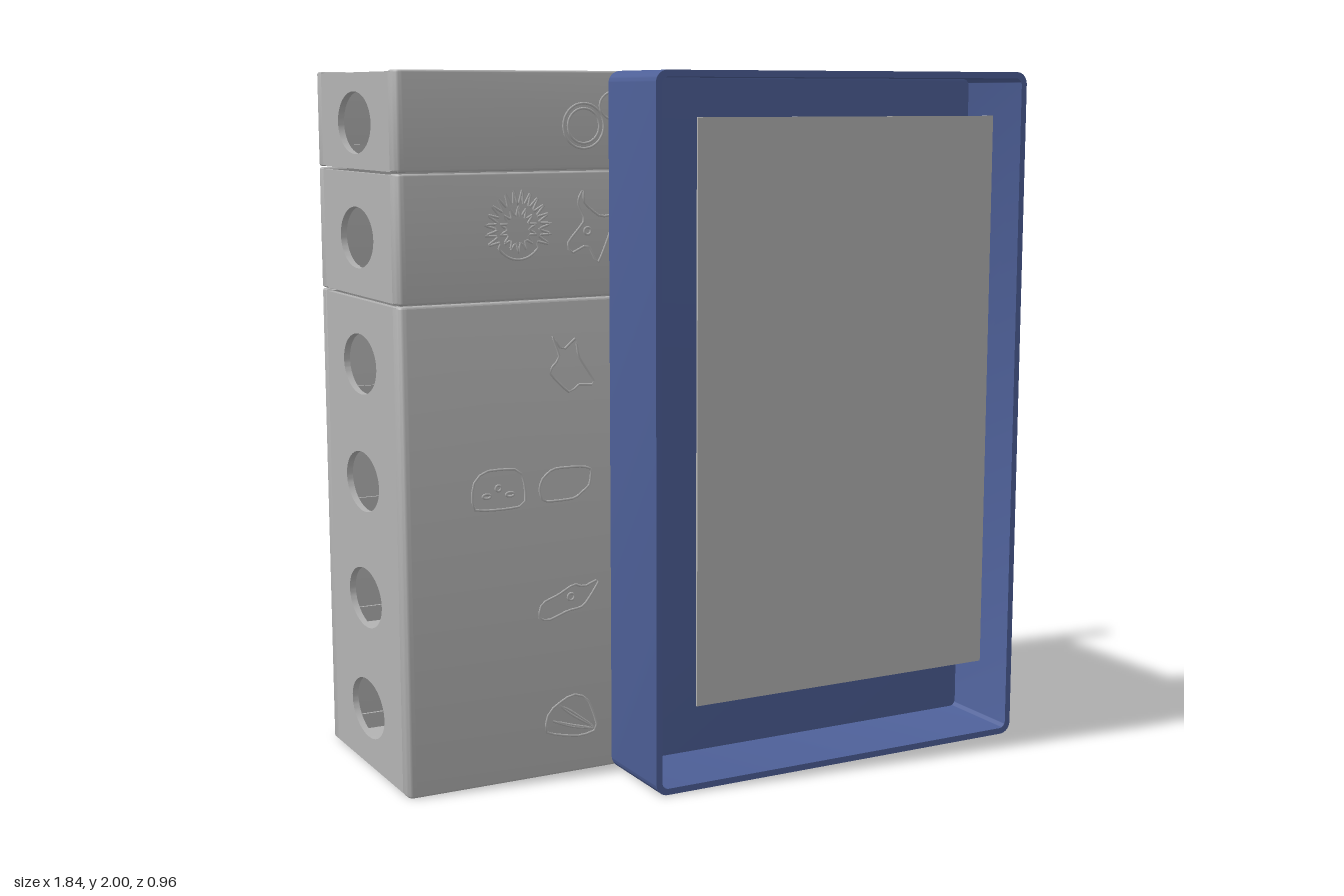
import * as THREE from 'three';
import { toCreasedNormals } from 'three/addons/utils/BufferGeometryUtils.js';

const grey = new THREE.MeshStandardMaterial({ color: 0xb3b3b3 });
grey.name = 'grey plastic';
const blue = new THREE.MeshStandardMaterial({ color: 0x4d5f97 });
blue.name = 'blue plastic';

const X0 = -0.92, X1 = 0.305;          // closed end and open end of the cabinet
const ZC = -0.155, HALF = 0.325;       // cabinet centre and half depth
const WALL = 0.018;

function add(parent, name, geometry, material, x = 0, y = 0, z = 0) {
  const mesh = new THREE.Mesh(geometry, material);
  mesh.name = name;
  mesh.position.set(x, y, z);
  parent.add(mesh);
  return mesh;
}

// Box given by its lower and upper corners
function block(parent, name, x0, x1, y0, y1, z0, z1, material = grey) {
  return add(parent, name, new THREE.BoxGeometry(x1 - x0, y1 - y0, z1 - z0), material,
    (x0 + x1) / 2, (y0 + y1) / 2, (z0 + z1) / 2);
}

const extrude = (shape, options) =>
  toCreasedNormals(new THREE.ExtrudeGeometry(shape, { curveSegments: 8, ...options }), 0.6);

// Long wall with a rounded corner that turns into the closed end; s = 1 front, -1 back
function longWall(s, height) {
  const r = 0.022, b = 0.006, shape = new THREE.Shape();
  shape.moveTo(X1, -s * HALF);
  shape.lineTo(X0 + r, -s * HALF);
  shape.quadraticCurveTo(X0, -s * HALF, X0, -s * (HALF - r));
  shape.lineTo(X0, -s * 0.275);
  shape.lineTo(X0 + WALL, -s * 0.275);
  shape.lineTo(X0 + WALL, -s * (HALF - WALL));
  shape.lineTo(X1, -s * (HALF - WALL));
  const g = extrude(shape, {
    depth: height - 2 * b, bevelThickness: b, bevelSize: b, bevelOffset: -b, bevelSegments: 3,
  });
  return g.translate(0, 0, b).rotateX(-Math.PI / 2);
}

// Closed end wall with oval openings
function endWall(y0, y1, holes) {
  const w = 0.295, shape = new THREE.Shape();
  shape.moveTo(-w, y0);
  shape.lineTo(w, y0);
  shape.lineTo(w, y1);
  shape.lineTo(-w, y1);
  for (const y of holes) {
    shape.holes.push(new THREE.Path().absellipse(0, y, 0.135, 0.086, 0, Math.PI * 2, true));
  }
  return extrude(shape, { depth: WALL, bevelEnabled: false, curveSegments: 40 }).rotateY(Math.PI / 2);
}

// One stackable unit with its floors, lips and rails
function cabinetUnit(name, y0, y1, floors, holes) {
  const unit = new THREE.Group();
  unit.name = name;
  add(unit, 'endWall', endWall(y0 + 0.004, y1 - 0.004, holes), grey, X0, 0, ZC);
  for (const s of [1, -1]) {
    add(unit, s > 0 ? 'frontWall' : 'backWall', longWall(s, y1 - y0), grey, 0, y0, ZC);
    const strip = (label, a, b, ya, yb) => {
      const z = [ZC + s * a, ZC + s * b].sort((p, q) => p - q);
      block(unit, label, X0 + WALL, X1 - 0.002, ya, yb, z[0], z[1]);
    };
    strip('topLip', 0.274, HALF - 0.01, y1 - 0.014, y1 - 0.003);
    for (const y of floors) strip('rail', HALF - 0.026, HALF - 0.01, y, y + 0.06);
  }
  for (const y of floors) {
    block(unit, 'shelf', X0 + 0.008, X1, y, y + 0.013, ZC - HALF + 0.008, ZC + HALF - 0.008);
  }
  return unit;
}

// Outline made by a radius rule r(angle), stretched by w and h
function rule(r, w, h, n = 48) {
  return Array.from({ length: n }, (_, i) => {
    const a = (i / n) * Math.PI * 2;
    return [Math.cos(a) * r(a, i) * w, Math.sin(a) * r(a, i) * h];
  });
}
const ring = (x, y, r, h = r) => rule(() => 1, r, h, 16).map(([a, b]) => [a + x, b + y]);

// Animal line drawings, each a list of closed outlines
const motifs = {
  pair: [ring(0.04, 0.035, 0.05, 0.04), ring(-0.06, -0.02, 0.062), ring(-0.06, -0.02, 0.048),
    ring(0.07, -0.025, 0.045, 0.03)],
  hedgehog: [rule((a, i) => (Math.sin(a) < -0.6 ? 0.75 : i % 2 ? 1 : 0.62), 0.1, 0.11),
    rule((a, i) => (i % 2 ? 0.7 : 0.4), 0.08, 0.09, 28)],
  goat: [[[0.1, 0.1], [0.06, 0.04], [0.01, 0.03], [-0.04, 0.07], [-0.04, 0.11], [-0.06, 0.07], [-0.04, 0.02],
    [-0.09, -0.04], [-0.08, -0.07], [-0.03, -0.05], [0, -0.1], [0.03, -0.04], [0.05, 0.01], [0.08, 0.05]],
    ring(-0.03, -0.01, 0.01)],
  round: [rule((a) => 1 + 0.12 * Math.sin(3 * a), 0.055, 0.065), ring(-0.015, 0.015, 0.01), ring(0.01, -0.025, 0.02, 0.01)],
  cat: [[[-0.06, 0.08], [-0.025, 0.045], [0.025, 0.045], [0.06, 0.08], [0.06, 0], [0.1, -0.02], [0.05, -0.03],
    [0, -0.07], [-0.05, -0.03], [-0.1, -0.02], [-0.06, 0]], ring(0.025, 0.005, 0.008), ring(-0.025, 0.005, 0.008)],
  fox: [[[-0.05, 0.08], [-0.02, 0.04], [0.02, 0.07], [0.03, 0.02], [0.08, -0.06], [0.03, -0.06], [0, -0.08],
    [-0.06, -0.02], [-0.03, 0.02]]],
  rabbit: [ring(-0.02, -0.02, 0.05, 0.045), ring(0.03, 0.05, 0.022, 0.045), ring(-0.03, 0.06, 0.02, 0.045)],
  bear: [ring(0, 0, 0.06, 0.05), ring(0.045, 0.05, 0.022), ring(-0.045, 0.05, 0.022), ring(0, -0.02, 0.025, 0.016)],
  pig: [[[-0.075, 0.02], [-0.04, 0.045], [0.04, 0.045], [0.075, 0.035], [0.07, -0.01], [0.045, -0.03],
    [0.02, -0.045], [-0.07, -0.045], [-0.085, -0.01]]],
  owl: [[[-0.07, -0.05], [-0.075, 0.02], [-0.04, 0.055], [0.05, 0.055], [0.075, 0.03], [0.075, -0.05]],
    ring(-0.035, -0.015, 0.012, 0.006), ring(0.035, -0.015, 0.012, 0.006), ring(0, 0.005, 0.008)],
  duck: [[[-0.09, -0.04], [-0.06, -0.05], [0, -0.03], [0.05, -0.02], [0.1, 0.05], [0.05, 0.035], [0.02, 0.045],
    [-0.03, 0.02], [-0.08, 0]], ring(0.01, 0.01, 0.01)],
  shell: [[[-0.08, -0.04], [-0.07, 0.02], [0, 0.06], [0.05, 0.04], [0.08, -0.05], [0.02, -0.065]],
    [[0.07, -0.045], [0, 0], [-0.04, 0.035], [0, 0.01]], [[0.07, -0.05], [0, -0.03], [-0.06, -0.01], [0, -0.035]]],
  arrow: [[[-0.015, 0], [0.01, 0.02], [0.01, -0.02]]],
};

function drawMotif(parent, key, x, y, z, mirror = 1) {
  const group = new THREE.Group();
  group.name = key + 'Emblem';
  for (const outline of motifs[key]) {
    const curve = new THREE.CatmullRomCurve3(
      outline.map(([a, b]) => new THREE.Vector3(a * mirror, b, 0)), true, 'catmullrom', 0.3);
    add(group, 'outline', new THREE.TubeGeometry(curve, outline.length * 3, 0.0035, 4, true), grey);
  }
  group.position.set(x, y, z);
  parent.add(group);
}

function roundedRect(x0, x1, y0, y1, r, path = new THREE.Shape()) {
  path.absarc(x1 - r, y1 - r, r, 0, Math.PI / 2);
  path.absarc(x0 + r, y1 - r, r, Math.PI / 2, Math.PI);
  path.absarc(x0 + r, y0 + r, r, Math.PI, Math.PI * 1.5);
  path.absarc(x1 - r, y0 + r, r, Math.PI * 1.5, Math.PI * 2);
  path.closePath();
  return path;
}

export function createModel() {
  const model = new THREE.Group();
  model.name = 'cabinetWithCover';

  // Three stacked units, open at the left end and at the top
  const cabinet = new THREE.Group();
  cabinet.name = 'cabinet';
  cabinet.add(
    cabinetUnit('lowerUnit', 0, 1.372, [0, 0.337, 0.675, 1.015], [0.175, 0.505, 0.845, 1.183]),
    cabinetUnit('middleUnit', 1.376, 1.726, [1.376], [1.54]),
    cabinetUnit('topUnit', 1.73, 2, [1.73], [1.858]),
  );
  model.add(cabinet);

  // Emblems on both long walls; the upper two rows are turned round on the front
  const rows = [
    [1.87, true, ['pair', -0.3]],
    [1.57, true, ['hedgehog', -0.04], ['goat', -0.28], ['round', -0.535]],
    [1.19, false, ['arrow', -0.08], ['cat', -0.2], ['fox', -0.42]],
    [0.85, false, ['arrow', 0.137], ['rabbit', 0], ['bear', -0.21], ['pig', -0.43], ['owl', -0.64]],
    [0.51, false, ['arrow', -0.08], ['round', -0.2], ['duck', -0.43]],
    [0.17, false, ['arrow', -0.08], ['goat', -0.2], ['shell', -0.42]],
  ];
  for (const [y, turned, ...items] of rows) {
    for (const [key, x] of items) {
      drawMotif(cabinet, key, x, y, ZC - HALF, turned ? -1 : 1);
      drawMotif(cabinet, key, turned ? -0.61 - x : x, y, ZC + HALF);
    }
  }

  // Hollow cover: straight rim, rounded back plate
  const cover = new THREE.Group();
  cover.name = 'cover';
  const rim = roundedRect(-0.305, 0.92, 0, 2, 0.035);
  rim.holes.push(roundedRect(-0.287, 0.902, 0.018, 1.982, 0.02, new THREE.Path()));
  add(cover, 'coverRim', extrude(rim, { depth: 0.277, bevelEnabled: false }), blue, 0, 0, 0.198);
  const back = extrude(roundedRect(-0.305, 0.92, 0, 2, 0.035), {
    depth: 0.001, bevelThickness: 0.018, bevelSize: 0.018, bevelOffset: -0.018, bevelSegments: 5,
  });
  add(cover, 'coverBack', back, blue, 0, 0, 0.198);
  model.add(cover);

  // Thin panel held level with the cover's front edge
  block(model, 'frontPanel', -0.18, 0.797, 0.245, 1.875, 0.473, 0.48);
  return model;
}
